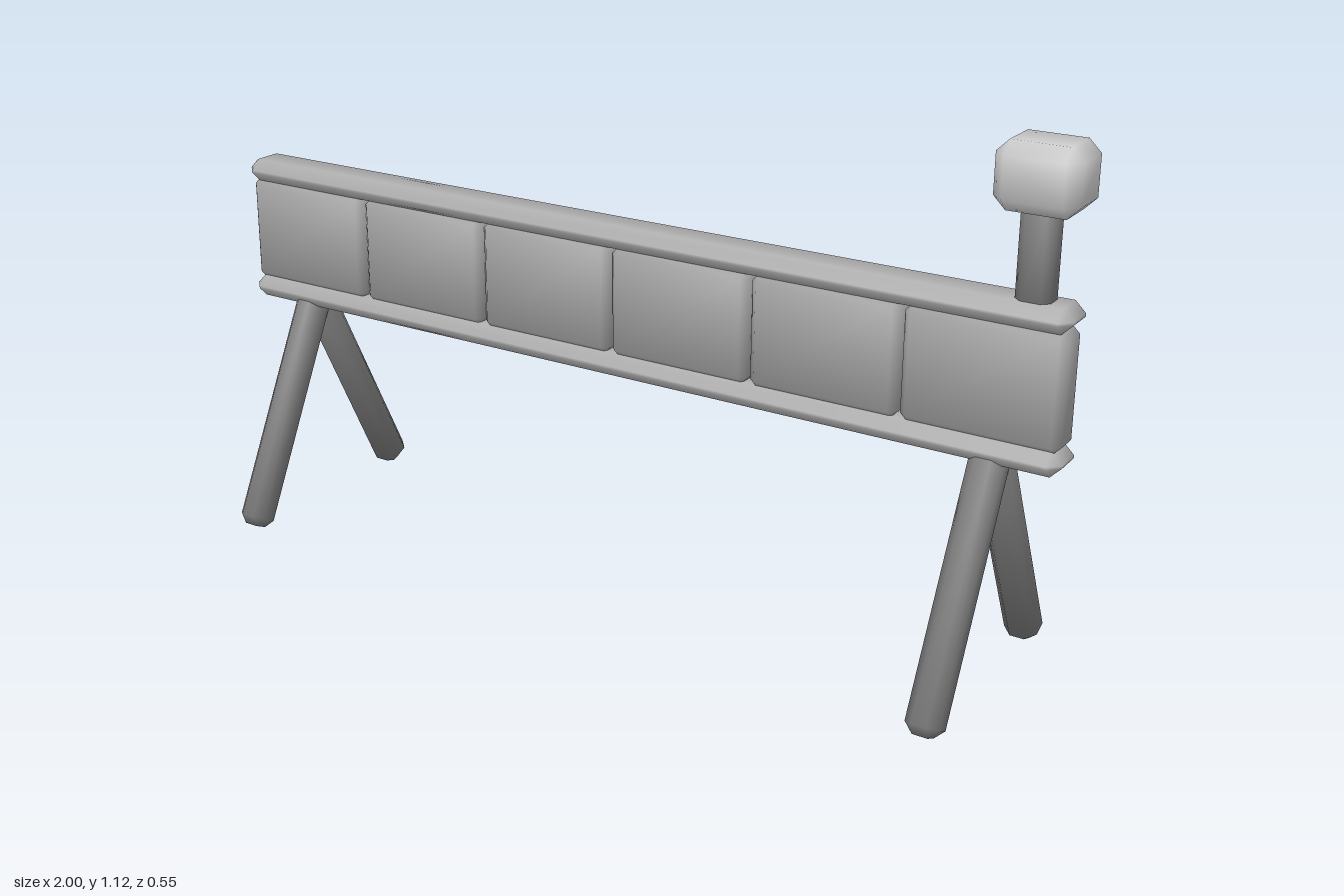
import * as THREE from 'three';
import { ConvexGeometry } from 'three/addons/geometries/ConvexGeometry.js';

const shade = (color) => new THREE.MeshStandardMaterial({ color });
const lampGrey = shade(0xd6d6d6);
const railGrey = shade(0xb0b0b0);
const panelGrey = shade(0xa2a2a2);
const legGrey = shade(0x7a7a7a);

// Box with a single chamfer on every edge; each corner of a face leans its
// normal towards the neighbouring faces, so the shading rolls across the box
function chamferBox(w, h, d, c) {
  const half = [w / 2, h / 2, d / 2];
  const points = [];
  for (const sx of [-1, 1]) for (const sy of [-1, 1]) for (const sz of [-1, 1]) {
    const sign = [sx, sy, sz];
    for (let axis = 0; axis < 3; axis++) {
      points.push(new THREE.Vector3(...half.map((r, i) => sign[i] * (i === axis ? r : r - c))));
    }
  }
  const geometry = new ConvexGeometry(points);
  const { position, normal } = geometry.attributes;
  for (let i = 0; i < position.count; i++) {
    const lean = half.map((r, axis) => {
      const p = position.getComponent(i, axis);
      return Math.sign(p) * (Math.abs(p) > r - c / 2 ? 1 : 0.42);
    });
    normal.setXYZ(i, ...new THREE.Vector3(...lean).normalize().toArray());
  }
  return geometry;
}

export function createModel() {
  const model = new THREE.Group();
  model.name = 'roadBarrier';

  const add = (name, geometry, material, x, y, z = 0) => {
    const mesh = new THREE.Mesh(geometry, material);
    mesh.name = name;
    mesh.position.set(x, y, z);
    model.add(mesh);
    return mesh;
  };

  // Long rails above and below the panels
  const rail = chamferBox(2, 0.05, 0.106, 0.022);
  add('topRail', rail, railGrey, 0, 0.799);
  add('bottomRail', rail, railGrey, 0, 0.518);

  // Row of six panels
  const panel = chamferBox(0.327, 0.24, 0.08, 0.015);
  for (let i = 0; i < 6; i++) add('panel', panel, panelGrey, -0.832 + i * 0.3325, 0.658);

  // Two pairs of splayed legs
  const foot = new THREE.Vector2(0.25, 0.01), hip = new THREE.Vector2(0.001, 0.51);
  const leg = chamferBox(0.072, foot.distanceTo(hip), 0.072, 0.02);
  const splay = Math.atan2(foot.x - hip.x, hip.y - foot.y);
  for (const x of [-0.85, 0.85]) for (const side of [-1, 1]) {
    const mesh = add('leg', leg, legGrey, x, (foot.y + hip.y) / 2, side * (foot.x + hip.x) / 2);
    mesh.rotation.x = -side * splay;
  }

  // Warning lamp on a short post
  add('lampPost', chamferBox(0.07, 0.22, 0.062, 0.015), legGrey, 0.914, 0.9);
  add('lamp', chamferBox(0.166, 0.132, 0.134, 0.025), lampGrey, 0.917, 1.059);

  return model;
}
